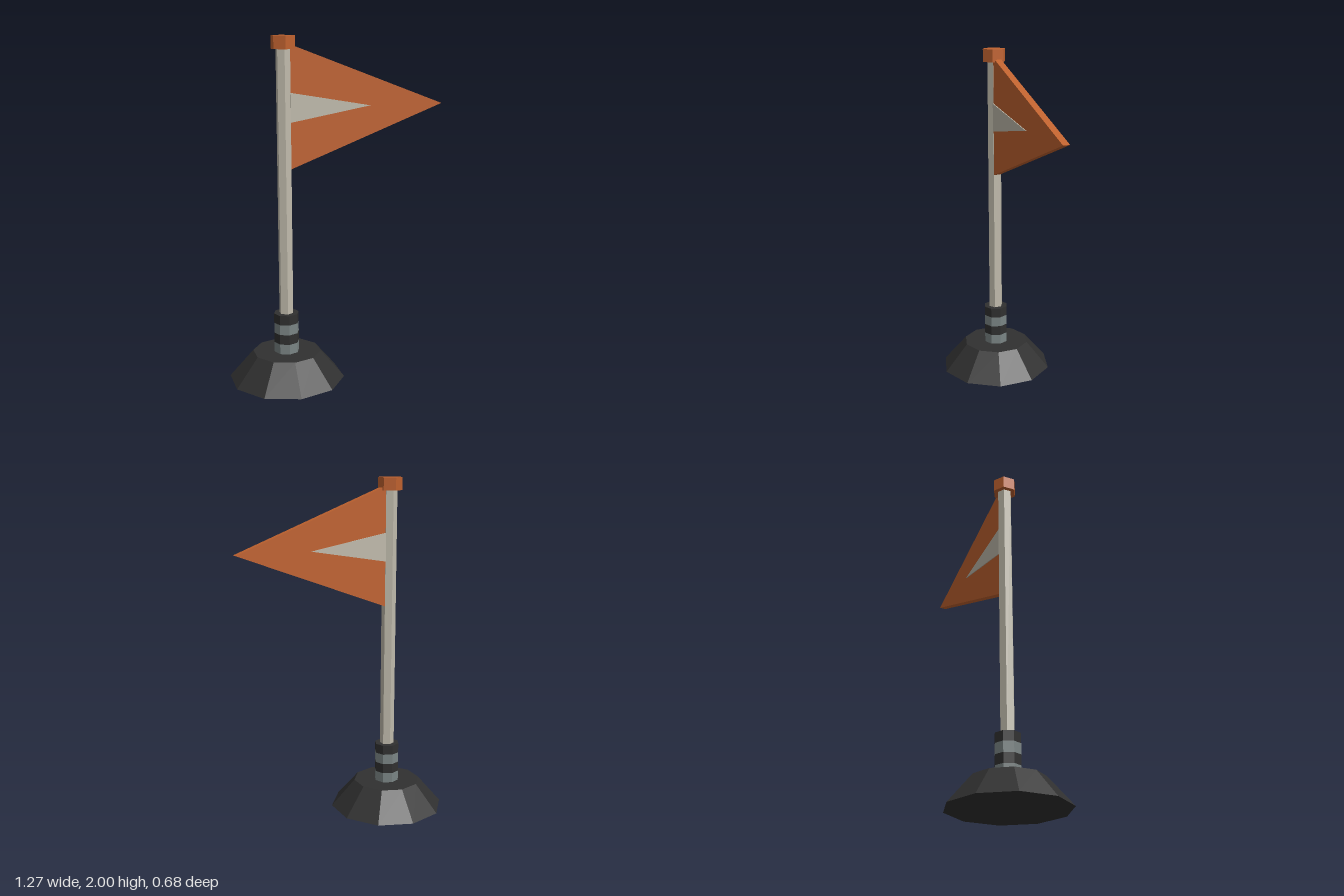
import * as THREE from 'three';

const paint = (name, color) => {
  const m = new THREE.MeshStandardMaterial({ color, flatShading: true });
  m.name = name;
  return m;
};

export function createModel() {
  const orange = paint('orange', 0xc0622f);
  const cream = paint('cream', 0xc0bbac);
  const rubber = paint('black rubber', 0x303030);
  const grey = paint('grey', 0x7a8484);

  const group = new THREE.Group();
  group.name = 'pennantOnStand';
  const poleX = -0.314;

  const add = (name, geometry, material) => {
    const mesh = new THREE.Mesh(geometry, material);
    mesh.name = name;
    group.add(mesh);
    return mesh;
  };

  // Upright prism between two heights on the pole axis
  const prism = (name, rTop, rBottom, y0, y1, sides, material) => {
    const g = new THREE.CylinderGeometry(rTop, rBottom, y1 - y0, sides);
    add(name, g, material).position.set(poleX, (y0 + y1) / 2, 0);
  };

  // Triangular pennant plate pointing to +x, centred on z = 0
  const pennant = (name, x0, x1, midY, halfHeight, depth, material) => {
    const shape = new THREE.Shape([
      new THREE.Vector2(x0, midY - halfHeight),
      new THREE.Vector2(x1, midY),
      new THREE.Vector2(x0, midY + halfHeight),
    ]);
    const g = new THREE.ExtrudeGeometry(shape, { depth, bevelEnabled: false });
    g.translate(0, 0, -depth / 2);
    add(name, g, material);
  };

  // Weighted foot
  prism('base', 0.2, 0.34, 0, 0.163, 10, rubber);

  // Banded collar
  const bands = [0.163, 0.223, 0.282, 0.343, 0.4];
  for (let i = 0; i < 4; i++) {
    prism(`collarBand${i + 1}`, 0.074, 0.074, bands[i], bands[i + 1], 8, i % 2 ? rubber : grey);
  }

  // Pole and cap
  prism('pole', 0.042, 0.042, 0.39, 1.96, 6, cream);
  prism('poleCap', 0.07, 0.07, 1.926, 2, 6, orange);

  // Flag with a pale wedge showing on both faces
  pennant('flag', -0.278, 0.631, 1.603, 0.348, 0.04, orange);
  pennant('flagWedge', -0.278, 0.19, 1.603, 0.083, 0.05, cream);

  return group;
}
